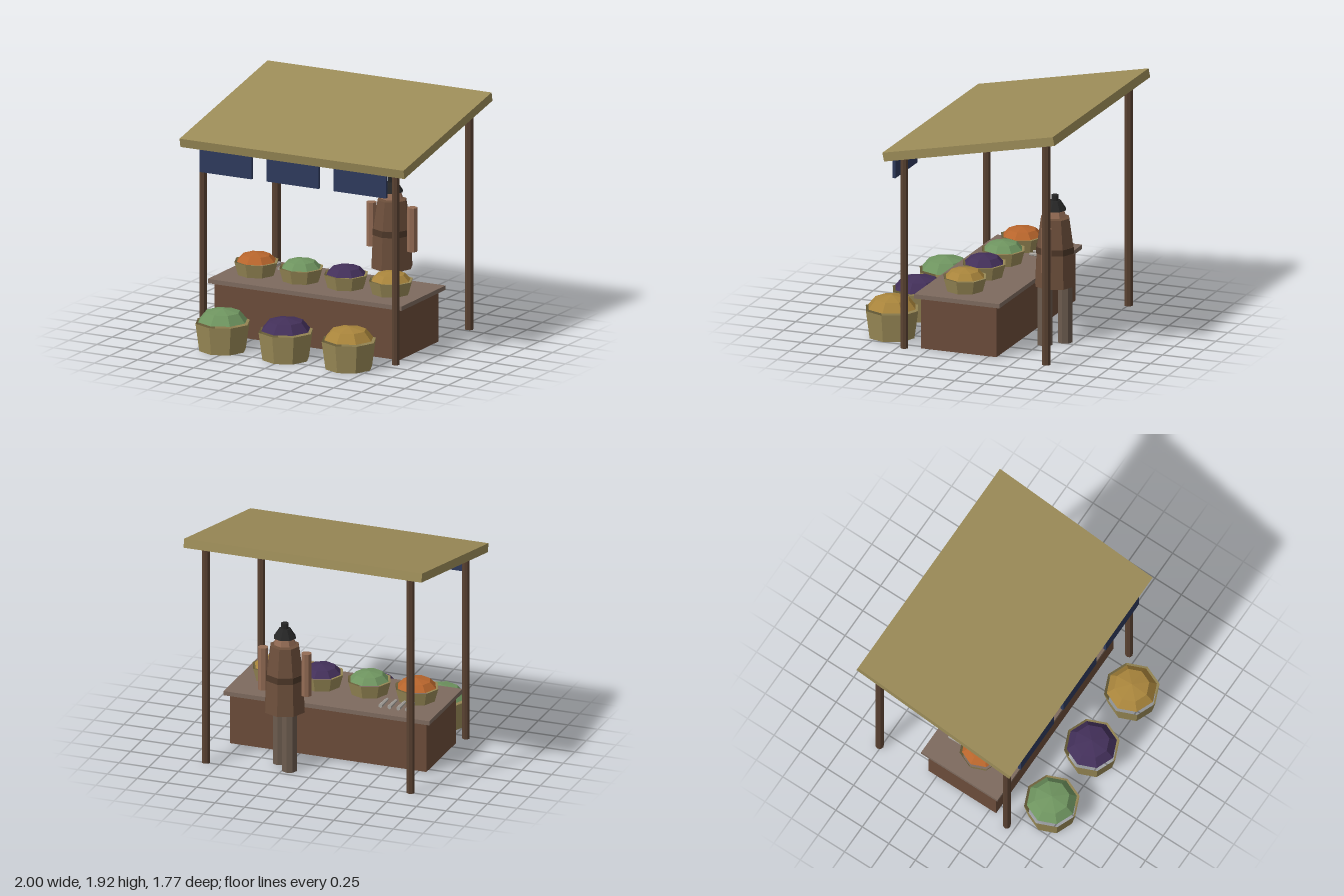
import * as THREE from 'three';

const mat = (color) => new THREE.MeshStandardMaterial({ color, flatShading: true, side: THREE.DoubleSide });

const M = {
  straw: mat(0x9c8c58), wood: mat(0x5a4232), panel: mat(0x6b4c3a), counter: mat(0x7d6a5e),
  cloth: mat(0x2e3a5c), orange: mat(0xb8652c), green: mat(0x6f9560), purple: mat(0x43305a),
  yellow: mat(0xa9853c), robe: mat(0x6e503c), belt: mat(0x4e3829), skin: mat(0x946c55),
  trousers: mat(0x6b5b4e), hair: mat(0x262626), fish: mat(0xa8a49e),
};

export function createModel() {
  const root = new THREE.Group();

  function add(name, geometry, material, x, y, z, parent = root) {
    const mesh = new THREE.Mesh(geometry, material);
    mesh.name = name;
    mesh.position.set(x, y, z);
    parent.add(mesh);
    return mesh;
  }
  const box = (w, h, d) => new THREE.BoxGeometry(w, h, d);
  const cyl = (rTop, rBottom, h, sides = 8, open = false) =>
    new THREE.CylinderGeometry(rTop, rBottom, h, sides, 1, open);

  // Sloping roof
  add('roof', box(2, 0.072, 1.47), M.straw, 0, 1.743, -0.163).rotation.x = 0.2;

  // Four posts, taller at the back
  for (const x of [-0.86, 0.86]) {
    add('frontPost', cyl(0.031, 0.031, 1.59), M.wood, x, 0.805, 0.435);
    add('backPost', cyl(0.035, 0.035, 1.83), M.wood, x, 0.925, -0.765);
  }

  // Cloth banners under the front eave
  for (const x of [-0.6, 0, 0.6]) add('banner', box(0.465, 0.2, 0.025), M.cloth, x, 1.48, 0.535);

  // Counter: a slab on four walls, open underneath
  const counter = new THREE.Group();
  counter.name = 'counter';
  root.add(counter);
  add('counterTop', box(1.73, 0.035, 0.72), M.counter, 0, 0.4425, -0.01, counter);
  for (const s of [-1, 1]) {
    add('longWall', new THREE.PlaneGeometry(1.65, 0.42), M.panel, 0, 0.22, -0.01 + s * 0.32, counter)
      .rotation.y = s > 0 ? 0 : Math.PI;
    add('endWall', new THREE.PlaneGeometry(0.64, 0.42), M.panel, s * 0.825, 0.22, -0.01, counter)
      .rotation.y = s * Math.PI / 2;
  }

  // Open tapered basket with a heap of produce
  function basket(x, y, z, rTop, rBottom, h, heapR, heapY, heapH, color) {
    const g = new THREE.Group();
    g.name = 'basket';
    g.position.set(x, y, z);
    root.add(g);
    add('basketWall', cyl(rTop, rBottom, h, 8, true), M.straw, 0, h / 2, 0, g);
    const profile = [[heapR, 0], [heapR * 0.7, heapH * 0.72], [0, heapH]];
    add('produce', new THREE.LatheGeometry(profile.map((p) => new THREE.Vector2(...p)), 8),
      color, 0, heapY, 0, g);
  }
  [M.green, M.purple, M.yellow].forEach((c, i) =>
    basket((i - 1) * 0.563, 0, 0.66, 0.222, 0.19, 0.226, 0.2, 0.236, 0.1, c));
  [M.orange, M.green, M.purple, M.yellow].forEach((c, i) =>
    basket(-0.605 + i * 0.4, 0.46, 0.03, 0.18, 0.15, 0.108, 0.16, 0.108, 0.068, c));

  // Small row of goods lying behind the first basket
  for (let i = 0; i < 4; i++) {
    const item = add('smallGoods', cyl(0.012, 0.018, 0.15, 6), M.fish, -0.41 - i * 0.075, 0.482, -0.185);
    item.rotation.x = Math.PI / 2;
  }

  // Vendor standing behind the counter
  const vendor = new THREE.Group();
  vendor.name = 'vendor';
  vendor.position.set(0.262, 0, -0.597);
  root.add(vendor);
  for (const s of [-1, 1]) {
    add('leg', cyl(0.062, 0.062, 0.52), M.trousers, s * 0.062, 0.26, s * 0.06, vendor);
    add('arm', cyl(0.042, 0.042, 0.355), M.skin, s * 0.182, 0.807, 0, vendor);
  }
  add('skirt', cyl(0.155, 0.168, 0.28, 8, true), M.robe, 0, 0.62, 0, vendor);
  add('belt', cyl(0.157, 0.16, 0.05), M.belt, 0, 0.775, 0, vendor);
  add('upperRobe', cyl(0.118, 0.152, 0.235), M.robe, 0, 0.9125, 0, vendor);
  add('head', cyl(0.06, 0.09, 0.085), M.skin, 0, 1.0825, 0, vendor);
  add('hair', cyl(0.045, 0.093, 0.075), M.hair, 0, 1.132, 0, vendor);
  add('hairBun', cyl(0.031, 0.031, 0.055), M.hair, 0, 1.186, 0, vendor);

  return root;
}
